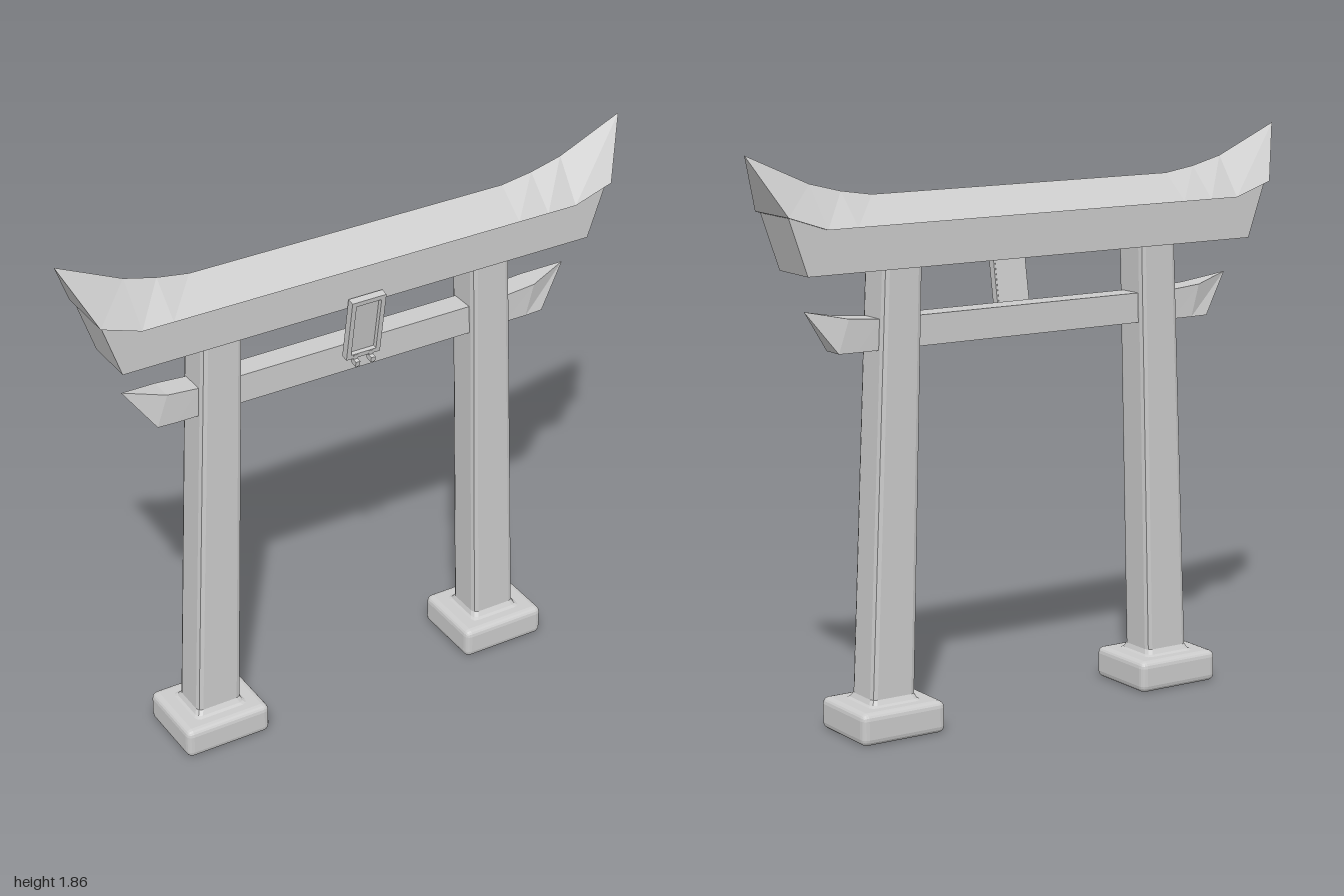
import * as THREE from 'three';
import { RoundedBoxGeometry } from 'three/addons/geometries/RoundedBoxGeometry.js';

const material = new THREE.MeshStandardMaterial({ color: 0xcccccc, flatShading: true });

function mesh(name, geometry, x = 0, y = 0, z = 0) {
  const m = new THREE.Mesh(geometry, material);
  m.name = name;
  m.position.set(x, y, z);
  return m;
}

// Skins a row of closed rings of [x, y, z] points and caps both ends.
function loft(rings) {
  const out = [];
  const n = rings[0].length;
  const tri = (a, b, c) => out.push(...a, ...b, ...c);
  for (let i = 0; i < rings.length - 1; i++) {
    const r = rings[i], s = rings[i + 1];
    for (let j = 0; j < n; j++) {
      const k = (j + 1) % n;
      tri(r[j], r[k], s[j]);
      tri(r[k], s[k], s[j]);
    }
  }
  const first = rings[0], last = rings[rings.length - 1];
  for (let j = 1; j < n - 1; j++) {
    tri(first[0], first[j + 1], first[j]);
    tri(last[0], last[j], last[j + 1]);
  }
  const g = new THREE.BufferGeometry();
  g.setAttribute('position', new THREE.Float32BufferAttribute(out, 3));
  g.computeVertexNormals();
  return g;
}

// Beam along x, symmetric about x = 0.
// Station: [bottom x, bottom y, bottom half depth, top x, top y, top half depth]
function beam(stations) {
  const ring = (s, [bx, by, bz, tx, ty, tz]) => [
    [s * bx, by, bz], [s * bx, by, -bz], [s * tx, ty, -tz], [s * tx, ty, tz],
  ];
  return loft([
    ...[...stations].reverse().map((st) => ring(-1, st)),
    ...stations.map((st) => ring(1, st)),
  ]);
}

// Horizontal rectangle with softened corners, for the pillars.
function pillarRing(cx, y, hx, hz, r = 0.018) {
  const pts = [];
  const corners = [[1, 1], [1, -1], [-1, -1], [-1, 1]];
  corners.forEach(([sx, sz], q) => {
    for (let i = 0; i <= 2; i++) {
      const a = Math.PI / 2 - (q + i / 2) * Math.PI / 2;
      pts.push([cx + sx * (hx - r) + r * Math.cos(a), y, sz * (hz - r) + r * Math.sin(a)]);
    }
  });
  return pts;
}

function createPillar(side) {
  const g = new THREE.Group();
  g.name = side > 0 ? 'leftPillar' : 'rightPillar';
  g.add(mesh('plinth', new RoundedBoxGeometry(0.305, 0.105, 0.27, 2, 0.022), side * 0.537, 0.0525, 0));
  // Leaning, tapering post with a small flare at its foot
  const profile = [
    [0.537, 0.09, 0.1, 0.092],
    [0.537, 0.103, 0.098, 0.09],
    [0.536, 0.11, 0.087, 0.077],
    [0.535, 0.125, 0.08, 0.067],
    [0.485, 1.5, 0.07, 0.066],
  ];
  g.add(mesh('post', loft(profile.map(([x, y, hx, hz]) => pillarRing(side * x, y, hx, hz)))));
  return g;
}

// Tilted tablet: backing panel, raised frame and two little feet
function createTablet() {
  const g = new THREE.Group();
  g.name = 'tablet';
  const w = 0.122, h = 0.225, bar = 0.016;
  g.add(mesh('panel', new THREE.BoxGeometry(w - 0.01, h - 0.01, 0.012), 0, 0, -0.008));
  const shape = new THREE.Shape([
    new THREE.Vector2(-w / 2, -h / 2), new THREE.Vector2(w / 2, -h / 2),
    new THREE.Vector2(w / 2, h / 2), new THREE.Vector2(-w / 2, h / 2),
  ]);
  const a = w / 2 - bar, b = h / 2 - bar;
  shape.holes.push(new THREE.Path([
    new THREE.Vector2(-a, -b), new THREE.Vector2(-a, b),
    new THREE.Vector2(a, b), new THREE.Vector2(a, -b),
  ]));
  g.add(mesh('frame', new THREE.ExtrudeGeometry(shape, { depth: 0.026, bevelEnabled: false }), 0, 0, -0.013));
  for (const s of [-1, 1]) {
    g.add(mesh('foot', new THREE.BoxGeometry(0.016, 0.034, 0.012), s * 0.028, -h / 2 - 0.004, 0.008));
    g.add(mesh('footToe', new THREE.BoxGeometry(0.016, 0.018, 0.024), s * 0.028, -h / 2 - 0.012, 0.018));
  }
  g.position.set(-0.003, 1.415, 0.093);
  g.rotation.x = 0.17;
  return g;
}

export function createModel() {
  const model = new THREE.Group();
  model.name = 'gate';

  for (const side of [1, -1]) model.add(createPillar(side));

  // Gabled roof: the ridge sweeps up to pointed tips
  model.add(mesh('roof', beam([
    [0.56, 1.63, 0.105, 0.56, 1.715, 0],
    [0.67, 1.63, 0.105, 0.67, 1.732, 0],
    [0.775, 1.63, 0.105, 0.78, 1.76, 0],
    [0.91, 1.675, 0.105, 1.0, 1.858, 0],
  ])));

  // Upper beam under the roof, with slanted ends
  model.add(mesh('upperBeam', beam([
    [0.72, 1.49, 0.088, 0.775, 1.632, 0.088],
    [0.838, 1.49, 0.088, 0.902, 1.672, 0.088],
  ])));

  // Lower tie beam, narrowing to raised points
  model.add(mesh('tieBeam', beam([
    [0.56, 1.235, 0.042, 0.56, 1.333, 0.042],
    [0.64, 1.235, 0.042, 0.67, 1.342, 0.041],
    [0.705, 1.235, 0.038, 0.805, 1.37, 0],
  ])));

  model.add(createTablet());
  return model;
}
